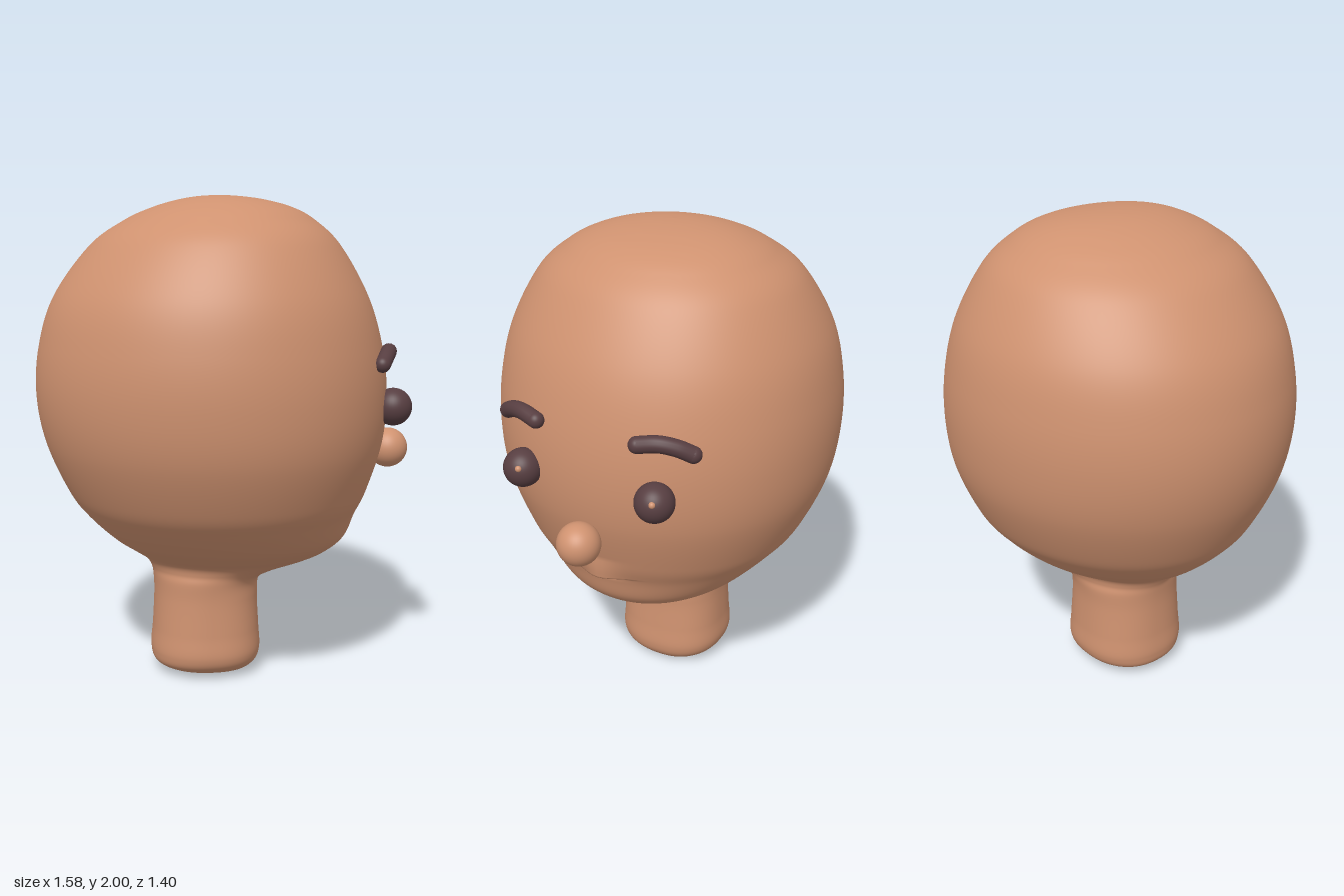
import * as THREE from 'three';

const skin = new THREE.MeshStandardMaterial({ color: 0xcf9270 });
skin.name = 'skin';
const dark = new THREE.MeshStandardMaterial({ color: 0x573e41 });
dark.name = 'darkBrown';

// Cross-sections from the neck base to the crown:
// height, back x, front x, half width, roundness exponent (2 = ellipse)
const sections = [
  [0.005, -0.08, -0.08, 0, 2.3],
  [0.012, -0.22, 0.06, 0.13, 2.3],
  [0.045, -0.31, 0.115, 0.205, 2.3],
  [0.1, -0.33, 0.135, 0.235, 2.3],
  [0.2, -0.322, 0.13, 0.23, 2.3],
  [0.34, -0.315, 0.125, 0.225, 2.2],
  [0.42, -0.318, 0.14, 0.23, 2.1],
  [0.46, -0.326, 0.23, 0.238, 2],
  [0.5, -0.35, 0.375, 0.27, 2],
  [0.54, -0.405, 0.45, 0.335, 2],
  [0.6, -0.49, 0.508, 0.417, 2],
  [0.7, -0.593, 0.542, 0.515, 2],
  [0.8, -0.665, 0.585, 0.588, 2],
  [1.0, -0.752, 0.643, 0.67, 2],
  [1.2, -0.788, 0.658, 0.698, 2],
  [1.4, -0.773, 0.634, 0.688, 2],
  [1.6, -0.708, 0.572, 0.64, 2],
  [1.8, -0.56, 0.458, 0.53, 2],
  [1.9, -0.42, 0.355, 0.415, 2],
  [1.95, -0.31, 0.265, 0.32, 2],
  [1.98, -0.21, 0.155, 0.22, 2],
  [1.995, -0.125, 0.05, 0.11, 2],
  [2.0, -0.04, -0.04, 0, 2],
];

// Upper lip: swells forward, then drops sharply at the mouth line
function lipBulge(y, z) {
  const across = Math.exp(-Math.pow(z / 0.08, 2));
  if (y >= 0.72) return 0.034 * across * Math.max(0, 1 - (y - 0.72) / 0.1);
  return -0.008 * across * Math.max(0, 1 - (0.72 - y) / 0.025);
}

function headGeometry() {
  const depth = new THREE.CatmullRomCurve3(sections.map(s => new THREE.Vector3(s[1], s[0], s[2])), false, 'catmullrom');
  const width = new THREE.CatmullRomCurve3(sections.map(s => new THREE.Vector3(s[3], s[0], s[4])), false, 'catmullrom');
  const rows = (sections.length - 1) * 16, cols = 128;
  const pos = [], index = [];
  for (let i = 0; i <= rows; i++) {
    const d = depth.getPoint(i / rows), w = width.getPoint(i / rows);
    const cx = (d.x + d.z) / 2, hx = Math.max(0.0005, (d.z - d.x) / 2);
    const hz = Math.max(0.0005, w.x), power = 2 / w.z;
    for (let j = 0; j < cols; j++) {
      const a = j / cols * Math.PI * 2, c = Math.cos(a), s = Math.sin(a);
      // the widest point sits a little towards the face
      let x = cx + hx * (Math.sign(c) * Math.pow(Math.abs(c), power) + 0.06 * s * s);
      const z = Math.sign(s) * Math.pow(Math.abs(s), power) * hz;
      if (c > 0) x += lipBulge(d.y, z);
      pos.push(x, d.y, z);
      if (i < rows) {
        const p = i * cols + j, q = i * cols + (j + 1) % cols;
        index.push(p, p + cols, q, q, p + cols, q + cols);
      }
    }
  }
  const g = new THREE.BufferGeometry();
  g.setAttribute('position', new THREE.Float32BufferAttribute(pos, 3));
  g.setIndex(index);
  g.computeVertexNormals();
  return g;
}

export function createModel() {
  const group = new THREE.Group();
  const add = (name, geometry, material, x = 0, y = 0, z = 0, parent = group) => {
    const m = new THREE.Mesh(geometry, material);
    m.name = name;
    m.position.set(x, y, z);
    parent.add(m);
    return m;
  };
  const ball = r => new THREE.SphereGeometry(r, 40, 28);

  add('headAndNeck', headGeometry(), skin);
  add('nose', ball(0.085), skin, 0.702, 0.94, 0);

  // Eyes and brows, one set on each side of the face (which looks along +x)
  for (const side of [1, -1]) {
    const label = side > 0 ? 'Near' : 'Far';
    add('eye' + label, ball(0.076), dark, 0.632, 1.16, side * 0.287);
    add('eyeGlint' + label, ball(0.013), skin, 0.693, 1.186, side * 0.287 - 0.024);

    const brow = new THREE.Group();
    brow.name = 'brow' + label;
    group.add(brow);
    const path = new THREE.CatmullRomCurve3([
      [0.55, 1.343, 0.4], [0.58, 1.37, 0.35], [0.607, 1.383, 0.29], [0.63, 1.373, 0.215],
    ].map(p => new THREE.Vector3(p[0], p[1], p[2] * side)));
    add('browArch' + label, new THREE.TubeGeometry(path, 32, 0.032, 16), dark, 0, 0, 0, brow);
    for (const t of [0, 1]) {
      const p = path.getPoint(t);
      add('browEnd' + label, ball(0.032), dark, p.x, p.y, p.z, brow);
    }
  }
  return group;
}
